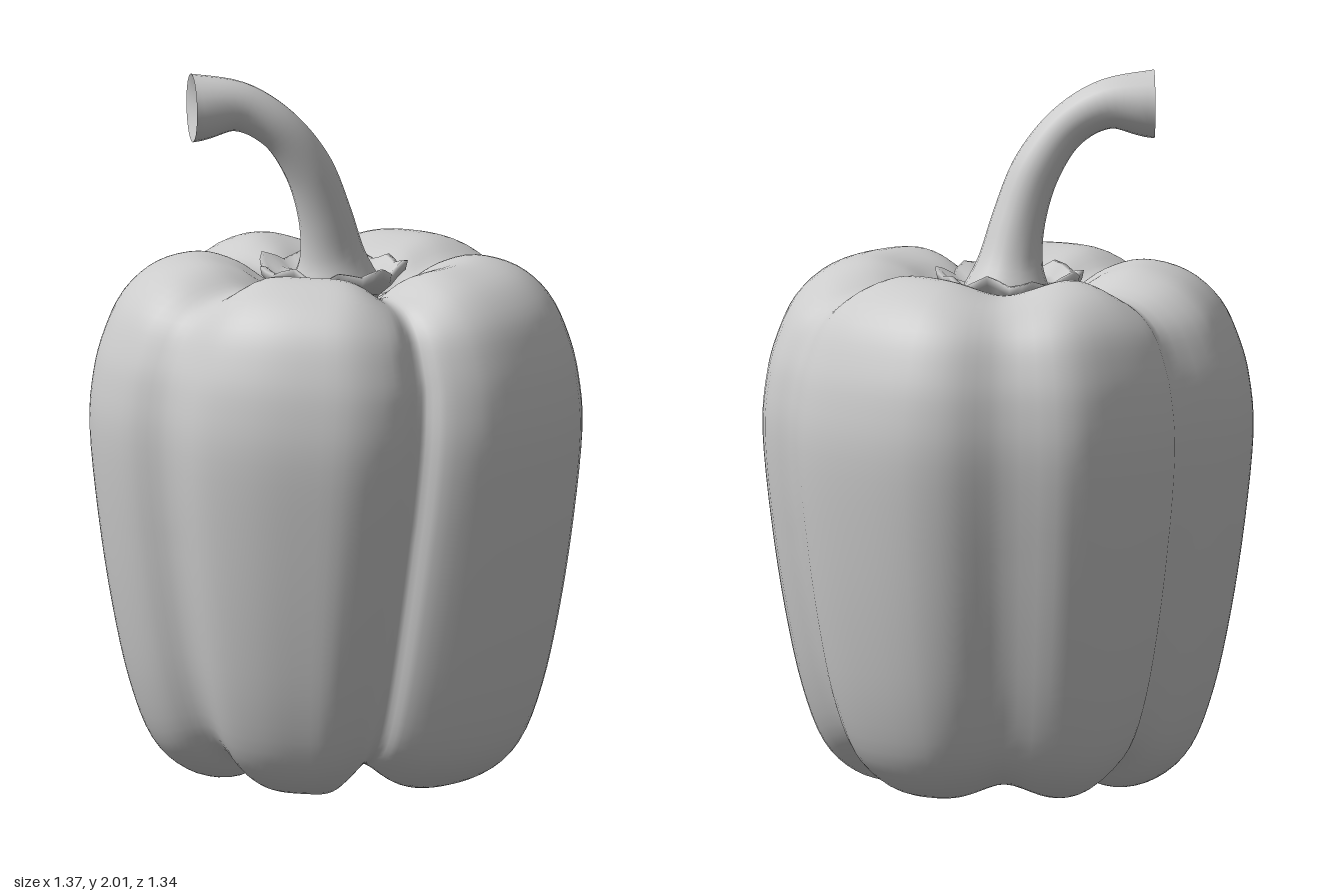
import * as THREE from 'three';

const V3 = THREE.Vector3;
const TAU = Math.PI * 2;

// Smooth skin over rings of points, each ring closed on itself
function skin(name, rings, material) {
  const n = rings[0].length, index = [];
  for (let j = 0; j < rings.length - 1; j++) {
    for (let i = 0; i < n; i++) {
      const a = j * n + i, b = j * n + (i + 1) % n;
      index.push(a, a + n, b, b, a + n, b + n);
    }
  }
  const geometry = new THREE.BufferGeometry().setFromPoints(rings.flat());
  geometry.setIndex(index);
  geometry.computeVertexNormals();
  const mesh = new THREE.Mesh(geometry, material);
  mesh.name = name;
  return mesh;
}

// Lobed outline seen from above (x, z)
const OUTLINE = [
  [0.68, 0.08], [0.645, 0.28], [0.55, 0.43], [0.39, 0.55], [0.26, 0.565], [0.19, 0.535],
  [0.13, 0.625], [0, 0.665], [-0.14, 0.64], [-0.3, 0.58], [-0.43, 0.48], [-0.51, 0.33],
  [-0.61, 0.25], [-0.675, 0.12], [-0.69, 0], [-0.675, -0.12], [-0.63, -0.25], [-0.49, -0.37],
  [-0.47, -0.45], [-0.36, -0.57], [-0.2, -0.67], [0, -0.65], [0.15, -0.67], [0.28, -0.635],
  [0.46, -0.5], [0.56, -0.37], [0.6, -0.21], [0.66, -0.12],
];

// Profile from the bottom dimple to the top dimple (fraction of outline, height)
const PROFILE = [
  [0, 0.11], [0.15, 0.09], [0.3, 0.04], [0.46, 0.008], [0.62, 0.035], [0.75, 0.12],
  [0.84, 0.28], [0.91, 0.5], [0.965, 0.75], [1, 1], [0.985, 1.15], [0.945, 1.26],
  [0.87, 1.37], [0.74, 1.45], [0.57, 1.483], [0.42, 1.46], [0.3, 1.41], [0.18, 1.37], [0, 1.35],
];

// Grooves between the lobes (angle in degrees, strength, width)
const GROOVES = [[71, 1, 13], [147, 0.9, 13], [217, 0.9, 13], [270, 0.6, 17], [341, 0.9, 14]];

const angleGap = (a, b) => Math.abs(((a - b + 540) % 360) - 180);

function grooveAt(deg) {
  return GROOVES.reduce((sum, [at, strength, width]) =>
    sum + strength * Math.exp(-((angleGap(deg, at) / width) ** 2)), 0);
}

function makeBody(material) {
  const outline = new THREE.CatmullRomCurve3(OUTLINE.map(([x, z]) => new V3(x, 0, z)), true, 'centripetal');
  const columns = outline.getPoints(OUTLINE.length * 4).slice(0, -1).map((p) => {
    const deg = (Math.atan2(p.z, p.x) * 360 / TAU + 360) % 360;
    return { deg, radius: Math.hypot(p.x, p.z), groove: grooveAt(deg) };
  });
  const profile = new THREE.SplineCurve(PROFILE.map(([s, y]) => new THREE.Vector2(s, y)));
  const rings = profile.getPoints((PROFILE.length - 1) * 4).map(({ x, y }) => {
    const s = Math.max(x, 0);
    return columns.map(({ deg, radius, groove }) => {
      // Grooves cut into the shoulders and the feet; the front one drifts sideways lower down
      const cut = 0.075 * groove * Math.sin(Math.PI * Math.min(s, 1));
      const drift = 10 * Math.exp(-(((deg - 75) / 32) ** 2)) * Math.max(0, 1 - y / 1.2);
      const a = (deg + drift) * TAU / 360;
      const r = s * radius * (1 - 0.1 * groove * (1 - Math.min(s, 1)));
      return new V3(r * Math.cos(a), y + (y > 0.75 ? -cut : cut), r * Math.sin(a));
    });
  });
  return skin('body', rings, material);
}

// Crumpled collar around the foot of the stem
function makeCalyx(material) {
  const section = [[0.05, 1.36], [0.15, 1.385], [0.195, 1.425], [0.2, 1.45], [0.185, 1.45], [0.15, 1.422], [0.105, 1.415], [0.06, 1.47]];
  const sides = 36;
  const rings = section.map(([r, y]) => Array.from({ length: sides }, (_, i) => {
    const a = i / sides * TAU;
    const edge = Math.max(0, (r - 0.08) / 0.12);
    const rr = r * (1 + edge * (0.05 * Math.sin(7 * a + 1) + 0.03 * Math.sin(11 * a)));
    const yy = y + edge * (0.012 * Math.sin(9 * a) + 0.008 * Math.sin(5 * a + 2));
    return new V3(-0.012 + rr * Math.cos(a), yy, -0.015 + rr * Math.sin(a));
  }));
  return skin('calyx', rings, material);
}

// Bent stalk with a flared, slightly hollow cut end
function makeStem(material) {
  const path = new THREE.CatmullRomCurve3([
    [0, 1.37, -0.015], [-0.012, 1.48, 0], [-0.035, 1.6, 0.02], [-0.085, 1.74, 0.04],
    [-0.17, 1.855, 0.055], [-0.28, 1.918, 0.055], [-0.412, 1.918, 0.062],
  ].map((p) => new V3(...p)));
  const radii = new THREE.SplineCurve([0.135, 0.092, 0.075, 0.068, 0.062, 0.07, 0.096]
    .map((r, i) => new THREE.Vector2(i, r)));
  const steps = 36, sides = 20;
  const { normals, binormals, tangents } = path.computeFrenetFrames(steps);
  const ring = (k, center, radius) => Array.from({ length: sides }, (_, i) => {
    const a = i / sides * TAU;
    return center.clone()
      .addScaledVector(normals[k], radius * Math.cos(a))
      .addScaledVector(binormals[k], -radius * Math.sin(a));
  });
  const rings = [];
  for (let k = 0; k <= steps; k++) {
    // Match the radius to the same control points that the arc-length frames pass
    const t = path.getUtoTmapping(k / steps);
    rings.push(ring(k, path.getPoint(t), radii.getPoint(t).y));
  }
  const end = path.getPoint(1);
  const cut = [[0.096, 0], [0.08, -0.006], [0.045, -0.02], [0, -0.022]].map(([r, d]) =>
    ring(steps, end.clone().addScaledVector(tangents[steps], d), r));
  const group = new THREE.Group();
  group.name = 'stem';
  group.add(skin('stalk', rings, material), skin('cutEnd', cut, material));
  return group;
}

export function createModel() {
  const material = new THREE.MeshStandardMaterial({ color: 0xcccccc });
  const model = new THREE.Group();
  model.name = 'bellPepper';
  model.add(makeBody(material), makeCalyx(material), makeStem(material));
  return model;
}
